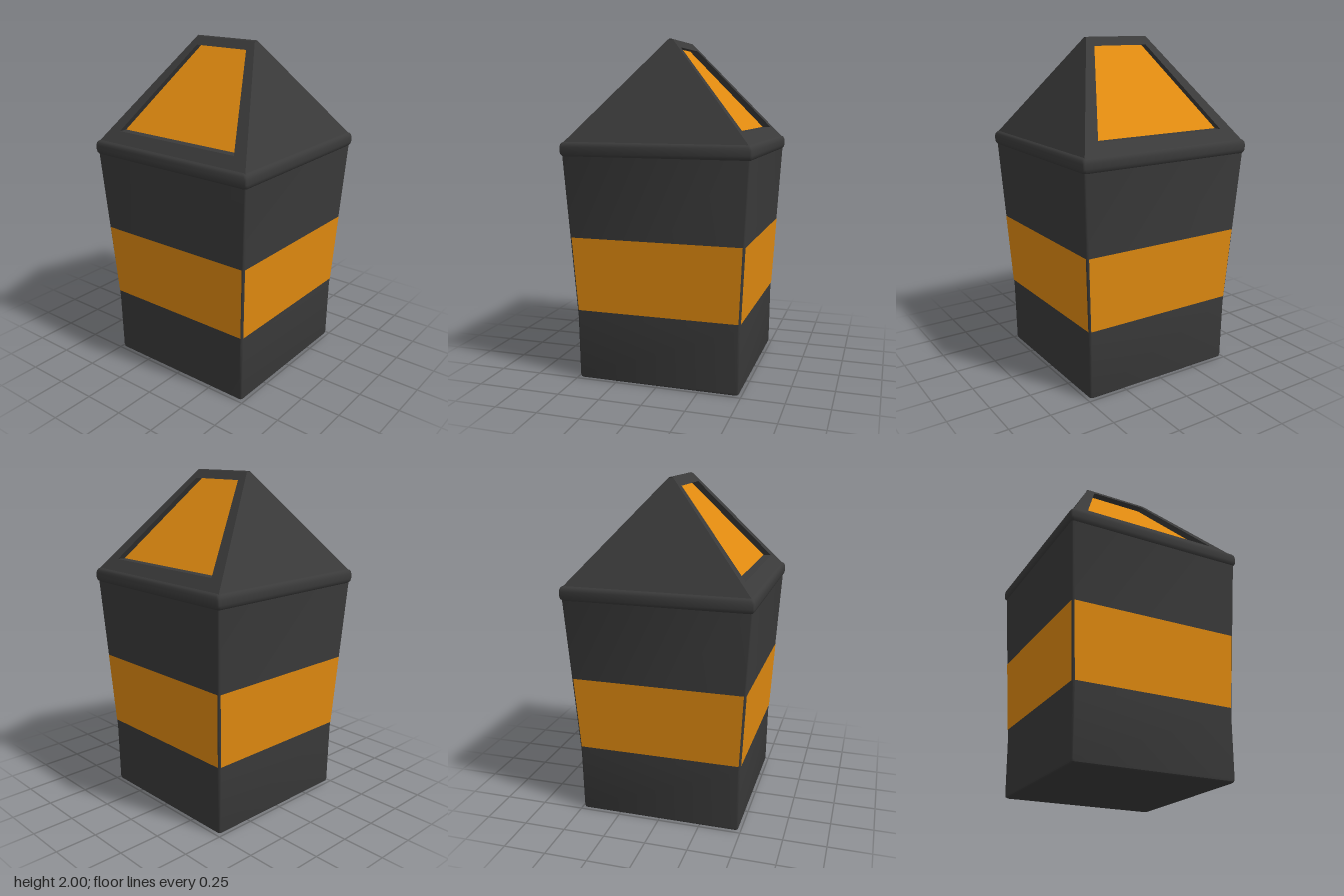
import * as THREE from 'three';
import { toCreasedNormals } from 'three/addons/utils/BufferGeometryUtils.js';

const dark = new THREE.MeshStandardMaterial({ color: 0x3a3a3a });
const orange = new THREE.MeshStandardMaterial({ color: 0xe08a10 });
const wall = new THREE.MeshStandardMaterial({ color: 0x3a3a3a, side: THREE.DoubleSide });

// Half widths of the bin body by height
const BODY = [[0, 0], [0.474, 0], [0.482, 0.006], [0.485, 0.02], [0.49, 0.38], [0.545, 1.34]];
const EAVE = { y: 1.41, half: 0.537 };
const RIDGE = { y: 1.994, halfX: 0.211, halfZ: 0.015 };
const RECESS = 0.05;

const lerp = THREE.MathUtils.lerp;
const bodyHalf = (y) => lerp(0.49, 0.545, (y - 0.38) / 0.96);
const roofZ = (y) => lerp(EAVE.half, RIDGE.halfZ, (y - EAVE.y) / (RIDGE.y - EAVE.y));

// Skin through rounded squares given as [half width, height]
function squareLoft(profile, radius) {
  const pos = [], index = [], steps = 4, n = 4 * (steps + 1);
  for (const [half, y] of profile) {
    const r = Math.min(radius, half);
    for (let c = 0; c < 4; c++) {
      const mid = Math.PI / 4 + c * Math.PI / 2;
      for (let s = 0; s <= steps; s++) {
        const a = (c + s / steps) * Math.PI / 2;
        pos.push(Math.sign(Math.cos(mid)) * (half - r) + Math.cos(a) * r, y,
          Math.sign(Math.sin(mid)) * (half - r) + Math.sin(a) * r);
      }
    }
  }
  for (let i = 0; i < profile.length - 1; i++) {
    for (let j = 0; j < n; j++) {
      const a = i * n + j, b = i * n + (j + 1) % n;
      index.push(a, a + n, b, b, a + n, b + n);
    }
  }
  const geo = new THREE.BufferGeometry();
  geo.setAttribute('position', new THREE.Float32BufferAttribute(pos, 3));
  geo.setIndex(index);
  return toCreasedNormals(geo, 0.7);
}

// Trapezoid outline in x and y
const trapezoid = (w0, y0, w1, y1) =>
  [[-w0, y0], [w0, y0], [w1, y1], [-w1, y1]].map(([x, y]) => new THREE.Vector2(x, y));

// Flat shape laid onto a sloping face: z follows from y
function slopedShape(points, zAt, hole) {
  const shape = new THREE.Shape(points);
  if (hole) shape.holes.push(new THREE.Path(hole));
  const geo = new THREE.ShapeGeometry(shape);
  const p = geo.attributes.position;
  for (let i = 0; i < p.count; i++) p.setZ(i, zAt(p.getY(i)));
  geo.computeVertexNormals();
  return geo;
}

// Walls running straight back from the edge of the roof opening
function recessWalls(points) {
  const pos = [];
  points.forEach((a, i) => {
    const b = points[(i + 1) % points.length];
    const [az, bz] = [roofZ(a.y), roofZ(b.y)];
    pos.push(a.x, a.y, az, b.x, b.y, bz, b.x, b.y, bz - RECESS);
    pos.push(a.x, a.y, az, b.x, b.y, bz - RECESS, a.x, a.y, az - RECESS);
  });
  const geo = new THREE.BufferGeometry();
  geo.setAttribute('position', new THREE.Float32BufferAttribute(pos, 3));
  geo.computeVertexNormals();
  return geo;
}

export function createModel() {
  const model = new THREE.Group();
  model.name = 'litterBin';
  const add = (name, geo, mat, turn = 0) => {
    const mesh = new THREE.Mesh(geo, mat);
    mesh.name = name;
    mesh.rotation.y = turn;
    model.add(mesh);
    return mesh;
  };

  // Tapered body and rounded rim
  add('body', squareLoft(BODY, 0.014), dark);
  add('rim', squareLoft([[0.53, 1.33], [0.545, 1.333], [0.553, 1.343], [0.556, 1.358],
    [0.556, 1.385], [0.553, 1.4], [0.546, 1.41], [0.53, 1.416]], 0.016), dark);

  // Coloured band, one panel per side
  const band = slopedShape(trapezoid(0.482, 0.42, 0.506, 0.86), (y) => bodyHalf(y) + 0.0015);
  for (let i = 0; i < 4; i++) add('bandPanel', band, orange, i * Math.PI / 2);

  // Hipped roof: two framed slopes with recessed panels, two plain ends
  const opening = trapezoid(0.42, 1.475, 0.18, 1.95);
  const slope = slopedShape(trapezoid(EAVE.half, EAVE.y, RIDGE.halfX, RIDGE.y), roofZ, opening);
  const walls = recessWalls(opening);
  const panel = slopedShape(opening, (y) => roofZ(y) - RECESS);
  const end = slopedShape(trapezoid(EAVE.half, EAVE.y, RIDGE.halfZ, RIDGE.y),
    (y) => lerp(EAVE.half, RIDGE.halfX, (y - EAVE.y) / (RIDGE.y - EAVE.y)));
  for (const turn of [0, Math.PI]) {
    add('roofFrame', slope, dark, turn);
    add('recessWalls', walls, wall, turn);
    add('roofPanel', panel, orange, turn);
    add('roofEnd', end, dark, turn + Math.PI / 2);
  }

  // Rounded ridge
  const ridge = new THREE.CylinderGeometry(0.02, 0.02, 2 * RIDGE.halfX, 16).rotateZ(Math.PI / 2);
  add('ridge', ridge, dark).position.y = 1.98;

  return model;
}
